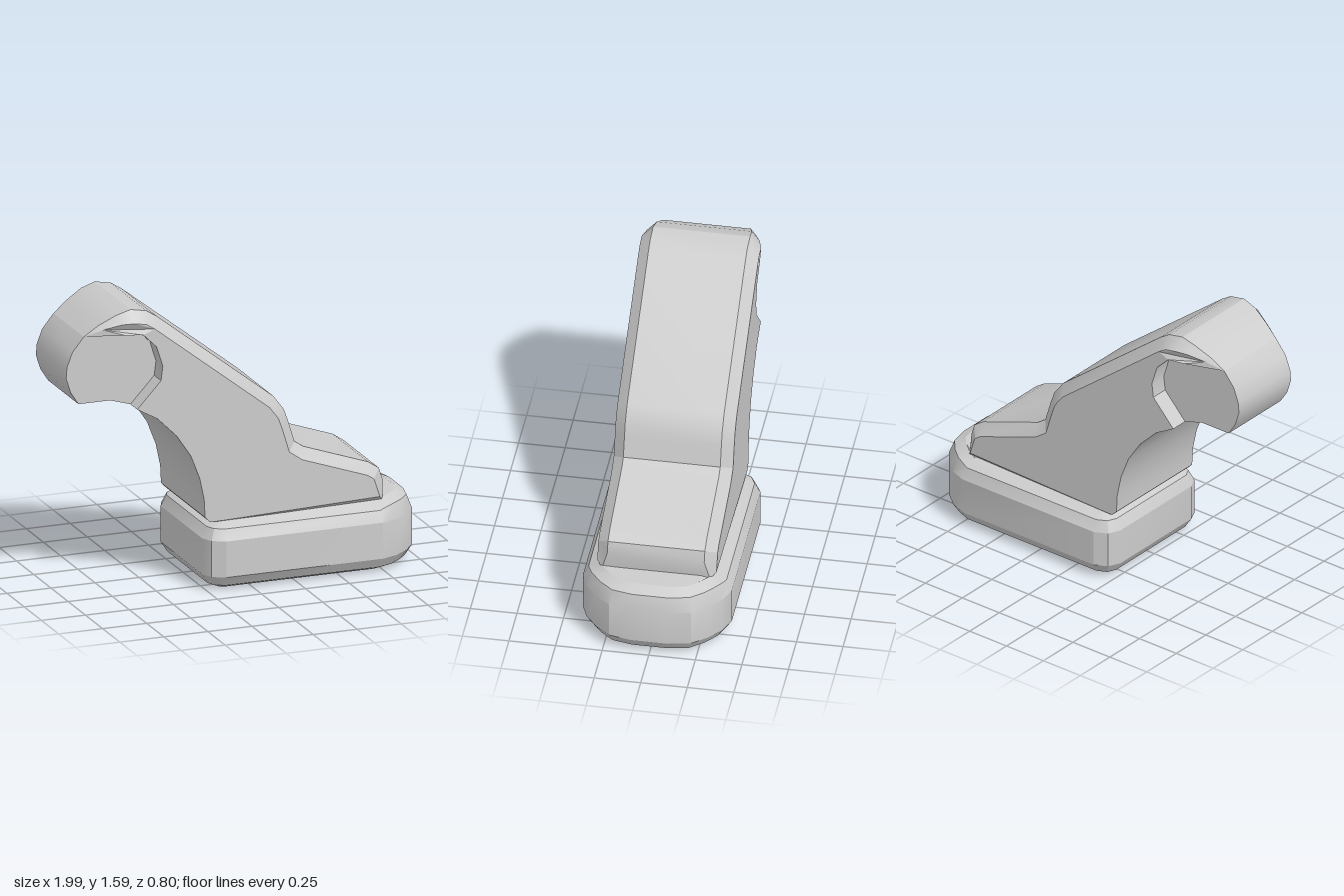
import * as THREE from 'three';
import { toCreasedNormals } from 'three/addons/utils/BufferGeometryUtils.js';

const material = new THREE.MeshStandardMaterial({ color: 0xcccccc });

// Moves each point of a counter-clockwise outline inwards by d(i), mitred at the corners
function inset(points, d) {
  const n = points.length;
  return points.map((p, i) => {
    const a = points[(i + n - 1) % n], b = points[(i + 1) % n];
    const n1 = new THREE.Vector2(a[1] - p[1], p[0] - a[0]).normalize();
    const n2 = new THREE.Vector2(p[1] - b[1], b[0] - p[0]).normalize();
    const m = n1.clone().add(n2).normalize();
    const k = d(i) / Math.max(m.dot(n1), 0.6);
    return [p[0] + m.x * k, p[1] + m.y * k];
  });
}

// Skins a stack of counter-clockwise rings that rise along z, and caps both ends
function loft(rings, crease) {
  const pos = [];
  const tri = (a, b, c) => {
    const area = new THREE.Triangle(...[a, b, c].map((p) => new THREE.Vector3(...p))).getArea();
    if (area > 1e-7) pos.push(...a, ...b, ...c);
  };
  for (let r = 0; r < rings.length - 1; r++) {
    const lo = rings[r], hi = rings[r + 1];
    lo.forEach((_, i) => {
      const j = (i + 1) % lo.length;
      tri(lo[i], lo[j], hi[j]);
      tri(lo[i], hi[j], hi[i]);
    });
  }
  const cap = (ring, flip) => {
    const contour = ring.map((p) => new THREE.Vector2(p[0], p[1]));
    for (const [a, b, c] of THREE.ShapeUtils.triangulateShape(contour, [])) {
      if (flip) tri(ring[a], ring[c], ring[b]);
      else tri(ring[a], ring[b], ring[c]);
    }
  };
  cap(rings[0], true);
  cap(rings[rings.length - 1], false);
  const geometry = new THREE.BufferGeometry();
  geometry.setAttribute('position', new THREE.Float32BufferAttribute(pos, 3));
  return toCreasedNormals(geometry, crease);
}

function part(name, geometry) {
  const mesh = new THREE.Mesh(geometry, material);
  mesh.name = name;
  return mesh;
}

// Rounded sole with a tapering, slightly raised toe
function createSole() {
  const half = [[0.99, 0.1], [0.965, 0.22], [0.9, 0.3], [0.82, 0.365], [0.73, 0.4],
    [-0.16, 0.4], [-0.23, 0.365], [-0.26, 0.3]];
  const outline = [...half, ...half.map(([x, y]) => [x, -y]).reverse()];
  const levels = [[0, 0.09], [0.025, 0.035], [0.08, 0], [0.28, 0], [0.34, 0.03], [0.37, 0.09]];
  const rings = levels.map(([h, d]) => inset(outline, () => d).map(([x, y]) => {
    const lift = h > 0.3 && x > 0.76 ? 0.018 : 0;
    return [x, y, h + lift];
  }));
  return part('sole', loft(rings, 0.45).rotateX(-Math.PI / 2));
}

// Instep and shin: side profile with bevelled upper edges and a sharp hollow heel
function createUpper() {
  // x, y, bevel, half width
  const W = 0.32;
  const profile = [
    [-0.22, 0.37, 0.0, W], [0.77, 0.37, 0.03, W],
    [0.78, 0.48, 0.06, W], [0.76, 0.54, 0.06, W], [0.7, 0.58, 0.06, W],
    [0.33, 0.71, 0.06, W], [0.28, 0.745, 0.06, W], [0.245, 0.86, 0.06, W],
    [0.22, 0.93, 0.06, W], [0.16, 1.01, 0.06, W],
    [-0.5, 1.53, 0.06, W], [-0.56, 1.568, 0.06, W], [-0.65, 1.585, 0.06, W],
    [-0.73, 1.56, 0.045, 0.3], [-0.82, 1.51, 0.025, 0.26], [-0.9, 1.45, 0, 0.22],
    // edge of the ankle recess
    [-0.7, 1.462, 0, 0.31], [-0.6, 1.455, 0, W], [-0.525, 1.38, 0, W],
    [-0.49, 1.27, 0, W], [-0.5, 1.19, 0, W], [-0.635, 1.045, 0, W],
    // hollow heel
    [-0.52, 0.98, 0, W], [-0.41, 0.87, 0, W], [-0.33, 0.75, 0, W],
    [-0.28, 0.62, 0, W], [-0.255, 0.5, 0, W], [-0.25, 0.4, 0, W],
  ];
  const inner = inset(profile, (i) => profile[i][2]);
  const side = (s) => inner.map(([x, y], i) => [x, y, s * profile[i][3]]);
  const rim = (s) => profile.map(([x, y, b, w]) => [x, y, s * (w - b)]);
  return part('upper', loft([side(-1), rim(-1), rim(1), side(1)], 0.45));
}

// Narrower ankle roller with a flattened underside
function createAnkle() {
  const outline = [[-0.93, 1.08], [-0.75, 1.08], [-0.635, 1.045], [-0.5, 1.19],
    [-0.49, 1.27], [-0.525, 1.38], [-0.6, 1.455], [-0.7, 1.462], [-0.9, 1.45],
    [-0.965, 1.37], [-0.995, 1.29], [-1, 1.23], [-0.975, 1.15]];
  const ring = (z) => outline.map(([x, y]) => [x, y, z]);
  return part('ankleRoller', loft([ring(-0.22), ring(0.22)], 0.45));
}

export function createModel() {
  const model = new THREE.Group();
  model.name = 'foot';
  model.add(createSole(), createUpper(), createAnkle());
  return model;
}
